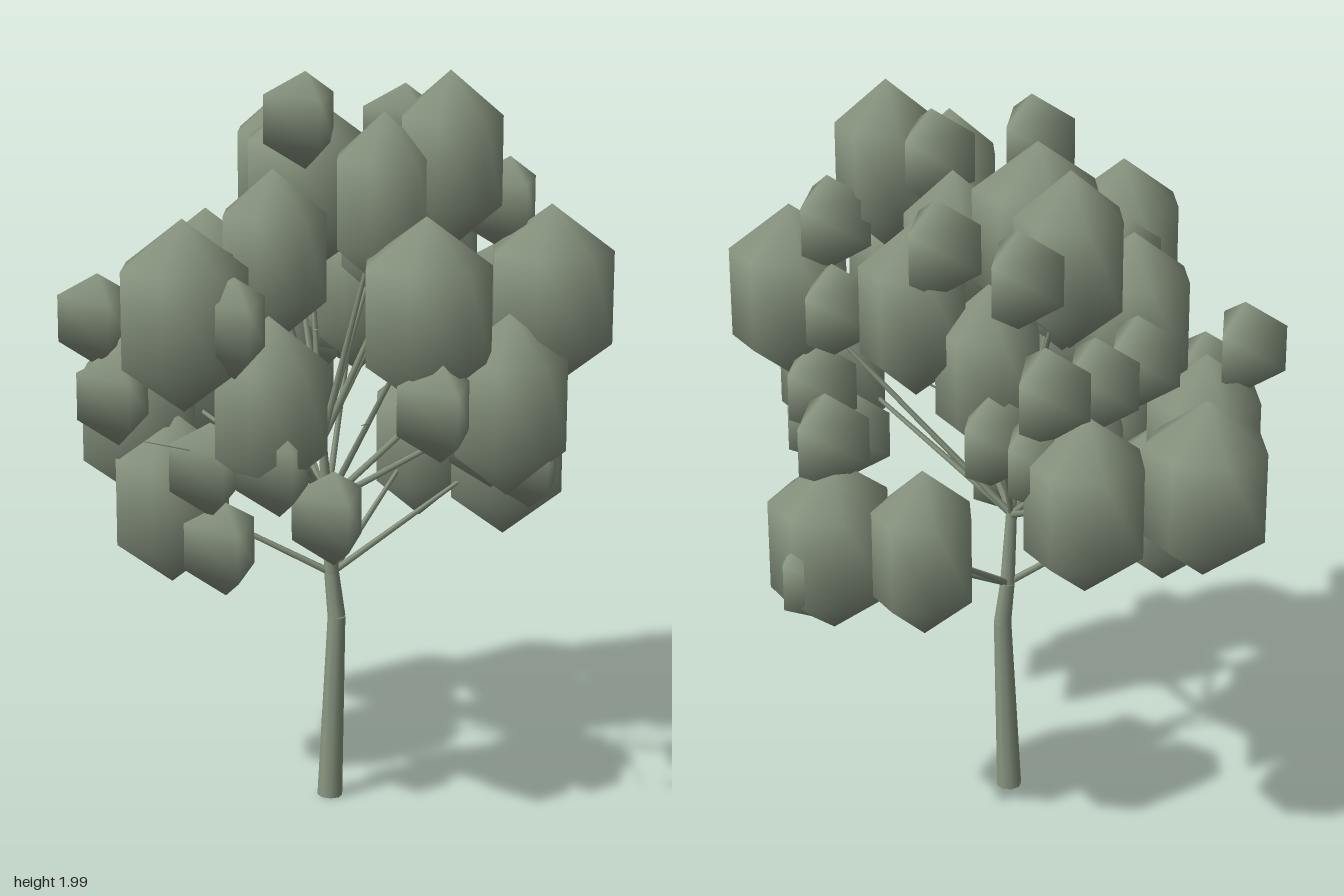
import * as THREE from 'three';

// Large leaf clumps: x, y, z, ring radius
const CLUMPS = [
  [0, 1.06, -0.575, 0.162], [0.31, 1.09, -0.42, 0.153], [-0.28, 0.85, -0.28, 0.153],
  [-0.28, 1.06, -0.4, 0.153], [-0.58, 1.43, 0.06, 0.16], [-0.38, 1.18, 0.16, 0.145],
  [0.53, 0.9, 0.21, 0.16], [0.46, 0.91, -0.03, 0.133], [0.18, 1.66, -0.28, 0.138],
  [0.08, 1.765, 0.36, 0.133], [-0.07, 1.67, 0.27, 0.128], [-0.13, 1.42, 0.455, 0.163],
  [0.23, 1.42, 0.57, 0.16], [0.06, 1.17, 0.57, 0.148], [0.35, 1.51, 0.07, 0.138],
  [0.06, 1.66, -0.1, 0.165], [-0.2, 1.38, -0.22, 0.155], [-0.14, 1.5, -0.04, 0.138],
  [0.12, 1.58, 0.12, 0.125], [0.27, 1.36, -0.1, 0.135], [0.15, 1.12, -0.3, 0.11],
];
// Small three-sided tufts: x, y, z
const TUFTS = [
  [-0.35, 1.31, -0.47], [-0.47, 1.15, -0.28], [-0.38, 1.46, -0.06], [0.37, 1.38, -0.34],
  [0.37, 1.66, -0.26], [0.39, 1.7, -0.03], [-0.57, 1.42, 0.22], [-0.41, 1.04, 0.22],
  [0.54, 1.19, 0.21], [0.615, 0.85, 0.21], [-0.07, 1.85, 0.01], [0.1, 1.82, 0.2],
  [0.24, 1.64, 0.43], [0.28, 1.42, 0.39], [0.29, 1.2, 0.45], [-0.21, 1.2, 0.57],
  [-0.19, 0.86, 0.21], [0.01, 1.36, -0.37], [0.2, 1.36, -0.37], [0.36, 1.2, -0.3],
  [0.36, 1.22, -0.17], [-0.35, 0.77, -0.02], [0.12, 1.02, 0.6], [0.18, 1.03, 0.43],
  [-0.37, 0.98, -0.05],
];

export function createModel() {
  const tree = new THREE.Group();
  tree.name = 'tree';
  const mat = new THREE.MeshStandardMaterial({ color: 0x8a9782 });
  mat.name = 'sageGreen';
  const add = (name, geo) => {
    const m = new THREE.Mesh(geo, mat);
    m.name = name;
    tree.add(m);
    return m;
  };
  const v = (p) => new THREE.Vector3(p[0], p[1], p[2]);

  // tapered limb between two points
  const limb = (name, a, b, r0, r1, sides) => {
    const d = v(b).sub(v(a));
    const m = add(name, new THREE.CylinderGeometry(r1, r0, d.length(), sides));
    m.position.copy(v(a)).addScaledVector(d, 0.5);
    m.quaternion.setFromUnitVectors(new THREE.Vector3(0, 1, 0), d.normalize());
  };

  // trunk
  const trunk = [[0.003, 0, 0.032], [0.017, 0.51, 0.043], [0.012, 0.63, 0.03], [0, 0.83, 0.025],
    [-0.015, 1.0, 0.02], [-0.03, 1.3, 0.01]];
  const radii = [0.034, 0.024, 0.02, 0.015, 0.011, 0.006];
  for (let i = 0; i < 5; i++) limb('trunk', trunk[i], trunk[i + 1], radii[i], radii[i + 1], 8);

  // pointed lobe with faceted outline
  const lobe = (name, p, ring, halfHeight, sides) => {
    const m = add(name, new THREE.SphereGeometry(1, sides, 3));
    m.scale.set(ring / 0.866, halfHeight, ring / 0.866);
    m.rotation.y = Math.PI;
    m.position.copy(v(p));
  };

  // each clump hangs on a branch from one of three forks
  CLUMPS.forEach((p) => {
    const fork = p[1] < 1.0 ? 2 : p[1] < 1.45 ? 3 : 4;
    limb('branch', trunk[fork], p, 0.01, 0.005, 5);
    lobe('leafClump', p, p[3], 0.235 * (0.7 + 0.3 * p[3] / 0.15), 7);
  });
  TUFTS.forEach((p) => lobe('leafTuft', p, 0.11, 0.125, 3));

  // bare twigs poking out of the crown
  const twigs = [[[-0.1, 1.1, 0.25], [-0.37, 1.18, 0.45]], [[0.15, 1.2, 0.1], [0.3, 1.35, 0.3]],
    [[-0.15, 0.95, 0.03], [-0.55, 1.08, -0.12]]];
  twigs.forEach(([a, b]) => limb('twig', a, b, 0.004, 0.001, 4));
  return tree;
}
